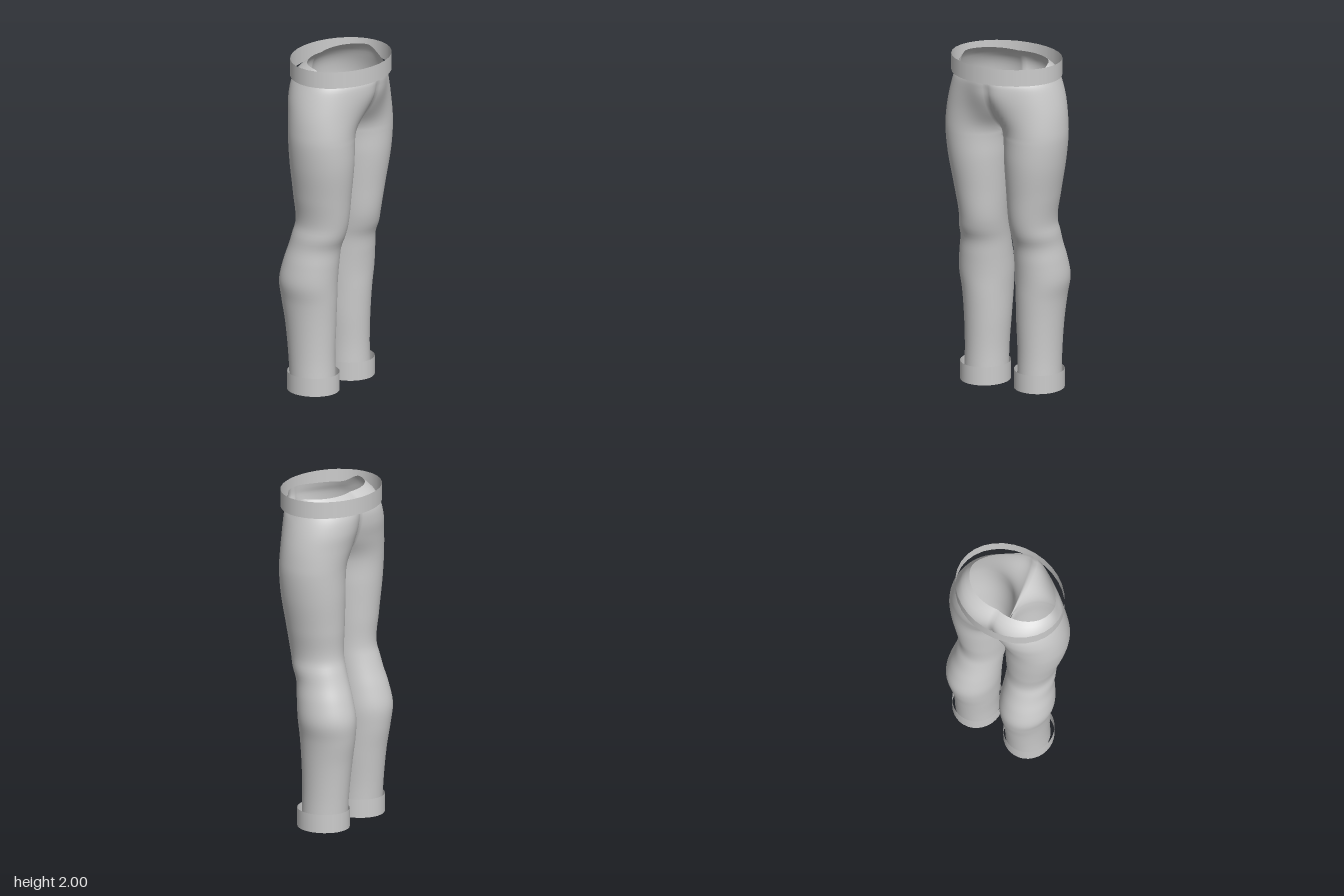
import * as THREE from 'three';
import { mergeVertices } from 'three/addons/utils/BufferGeometryUtils.js';

// Outline of one trouser leg by height: y, inner x, outer x, front z, back z.
// A negative inner x means the leg has merged with its mirror image at the hips.
const SECTIONS = [
  [0.02, 0.045, 0.3, 0.07, -0.2],
  [0.2, 0.045, 0.298, 0.066, -0.213],
  [0.4, 0.035, 0.306, 0.072, -0.235],
  [0.55, 0.03, 0.32, 0.08, -0.259],
  [0.66, 0.026, 0.338, 0.086, -0.266],
  [0.78, 0.028, 0.328, 0.096, -0.24],
  [0.88, 0.03, 0.311, 0.108, -0.208],
  [0.95, 0.028, 0.307, 0.135, -0.188],
  [1.02, 0.025, 0.298, 0.152, -0.17],
  [1.2, 0.016, 0.325, 0.176, -0.176],
  [1.4, 0.007, 0.36, 0.2, -0.186],
  [1.55, 0.001, 0.375, 0.205, -0.19],
  [1.6, -0.012, 0.374, 0.206, -0.194],
  [1.7, -0.065, 0.365, 0.21, -0.208],
  [1.8, -0.1, 0.345, 0.214, -0.222],
  [1.9, -0.13, 0.315, 0.215, -0.212],
  [1.95, -0.15, 0.297, 0.21, -0.18],
  [1.99, -0.16, 0.27, 0.205, -0.13],
];
const LEVELS = 90, AROUND = 44;

// Both legs and the hips as one smooth open shell
function trouserGeometry() {
  const spline = new THREE.CubicInterpolant(
    SECTIONS.map((s) => s[0]), SECTIONS.flatMap((s) => s.slice(1)), 4);
  const positions = [], index = [];
  for (const side of [1, -1]) {
    const base = positions.length / 3;
    for (let j = 0; j <= LEVELS; j++) {
      const y = THREE.MathUtils.lerp(0.02, 1.99, j / LEVELS);
      const [inner, outer, front, back] = spline.evaluate(y);
      const cx = (outer + inner) / 2, rx = (outer - inner) / 2;
      const cz = (front + back) / 2, rz = (front - back) / 2;
      // Below the crotch the section is a full loop, above it stops at x = 0
      const overlap = Math.asin(Math.min(1, cx / rx));
      const mound = 0.075 * THREE.MathUtils.smoothstep(y, 1.56, 1.85);
      const dip = 0.05 * THREE.MathUtils.smoothstep(y, 1.85, 1.99);
      for (let i = 0; i <= AROUND; i++) {
        const a = THREE.MathUtils.lerp(-overlap, Math.PI + overlap, i / AROUND);
        let x = cx + rx * Math.sin(a), z = cz + rz * Math.cos(a);
        if (x < 0.006 && y > 1.42) x = 0;
        const frontness = THREE.MathUtils.smoothstep(z, 0, 0.12);
        z += mound * frontness * Math.exp(-((x / 0.13) ** 2));
        positions.push(side * x, y - dip * frontness, z);
        if (i < AROUND && j < LEVELS) {
          const p = base + j * (AROUND + 1) + i, q = p + AROUND + 1;
          if (side > 0) index.push(p, p + 1, q + 1, p, q + 1, q);
          else index.push(p, q + 1, p + 1, p, q, q + 1);
        }
      }
    }
  }
  const geometry = new THREE.BufferGeometry();
  geometry.setAttribute('position', new THREE.Float32BufferAttribute(positions, 3));
  geometry.setIndex(index);
  const merged = mergeVertices(geometry, 1e-4);
  merged.computeVertexNormals();
  return merged;
}

// Thin open oval band
function band(name, material, rx, rz, height, x, y, z) {
  const geometry = new THREE.CylinderGeometry(1, 1, height, 32, 1, true).scale(rx, 1, rz);
  const mesh = new THREE.Mesh(geometry, material);
  mesh.name = name;
  mesh.position.set(x, y, z);
  return mesh;
}

export function createModel() {
  const model = new THREE.Group();
  model.name = 'trousers';
  const cloth = new THREE.MeshStandardMaterial({ color: 0xcccccc });
  cloth.name = 'grey cloth';
  cloth.side = THREE.DoubleSide;

  const shell = new THREE.Mesh(trouserGeometry(), cloth);
  shell.name = 'legsAndHips';
  model.add(shell);

  model.add(band('waistband', cloth, 0.333, 0.271, 0.1, 0, 1.95, 0.01));
  model.add(band('leftCuff', cloth, 0.145, 0.155, 0.11, 0.175, 0.055, -0.06));
  model.add(band('rightCuff', cloth, 0.145, 0.155, 0.11, -0.175, 0.055, -0.06));
  return model;
}
